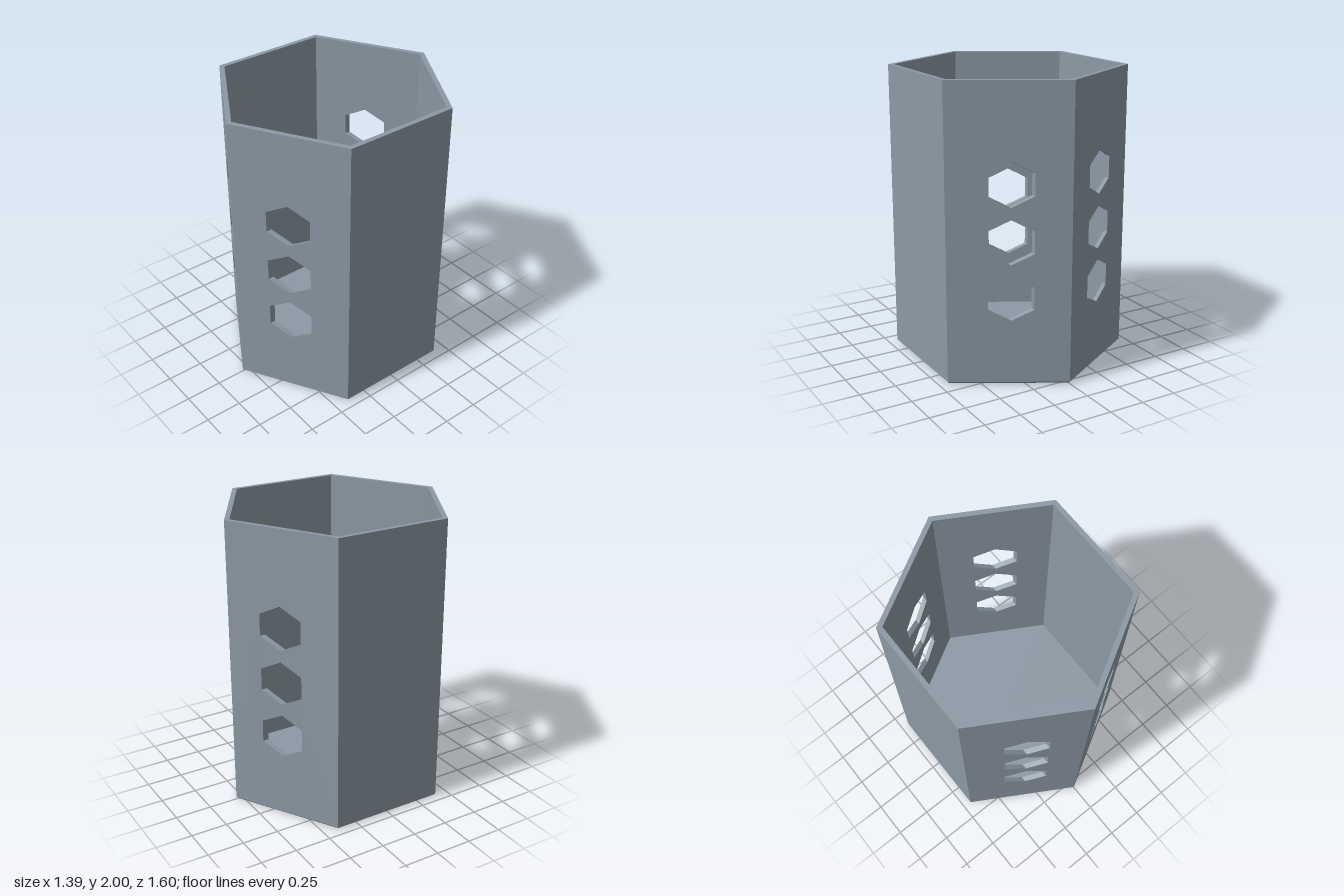
import * as THREE from 'three';

const R = 0.8, T = 0.038;              // outer corner radius, wall thickness measured at the corners
const C = Math.sqrt(3) / 2;            // corner radius to flat distance
const RIM = 2, CHAMFER = 0.015, FLOOR = 0.04;
const HOLE_R = 0.149, HOLE_X = 0.334, HOLE_Y = [0.595, 0.972, 1.35];

// Give every face its own flat normals
function faceted(geometry) {
  const g = geometry.index ? geometry.toNonIndexed() : geometry;
  g.computeVertexNormals();
  return g;
}

// Upright rectangle from x0 to x1
function wallShape(x0, x1) {
  return new THREE.Shape([
    new THREE.Vector2(x0, CHAMFER), new THREE.Vector2(x1, CHAMFER),
    new THREE.Vector2(x1, RIM), new THREE.Vector2(x0, RIM),
  ]);
}

// Move each vertex by a rule (x, z, isInner) => [x, z]
function reshape(geometry, depth, rule) {
  const p = geometry.attributes.position;
  for (let i = 0; i < p.count; i++) {
    const [x, z] = rule(p.getX(i), p.getZ(i), p.getZ(i) < depth / 2);
    p.setX(i, x);
    p.setZ(i, z);
  }
  return faceted(geometry);
}

// Slanted wall with three hexagonal holes cut straight along z
function piercedWall(side) {
  const shape = wallShape(0, side * R * C);
  for (const y of HOLE_Y) {
    const points = [];
    for (let i = 0; i < 6; i++) {
      const a = Math.PI / 6 + i * Math.PI / 3;
      points.push(new THREE.Vector2(side * HOLE_X + HOLE_R * Math.cos(a), y + HOLE_R * Math.sin(a)));
    }
    shape.holes.push(new THREE.Path(points));
  }
  const g = new THREE.ExtrudeGeometry(shape, { depth: T, bevelEnabled: false });
  return reshape(g, T, (x, z, inner) => {
    const limit = (inner ? R - T : R) * C;      // mitred outer end
    const nx = Math.sign(x) * Math.min(Math.abs(x), limit);
    return [nx, R - T + z - Math.abs(nx) / Math.sqrt(3)];
  });
}

// Plain side wall, mitred at both ends
function plainWall() {
  const depth = T * C;
  const g = new THREE.ExtrudeGeometry(wallShape(-R / 2, R / 2), { depth, bevelEnabled: false });
  return reshape(g, depth, (x, z, inner) => [
    inner ? Math.sign(x) * (R - T) / 2 : x, (R - T) * C + z,
  ]);
}

export function createModel() {
  const model = new THREE.Group();
  model.name = 'hexagonalHolder';
  const material = new THREE.MeshStandardMaterial({ color: 0x8c99a5 });
  material.name = 'slate grey';

  const add = (name, geometry, turn = 0) => {
    const mesh = new THREE.Mesh(geometry, material);
    mesh.name = name;
    mesh.rotation.y = turn;
    model.add(mesh);
  };

  // Four pierced walls: the front pair and the same pair turned to the back
  const leftWall = piercedWall(1), rightWall = piercedWall(-1);
  add('frontLeftWall', leftWall);
  add('frontRightWall', rightWall);
  add('backRightWall', leftWall, Math.PI);
  add('backLeftWall', rightWall, Math.PI);

  // Two plain side walls
  const sideWall = plainWall();
  add('leftWall', sideWall, Math.PI / 2);
  add('rightWall', sideWall, -Math.PI / 2);

  // Base with a chamfered foot and the inner floor
  const profile = [
    [0, 0], [R - 0.018, 0], [R, CHAMFER], [R - T, CHAMFER], [R - T, FLOOR], [0, FLOOR],
  ].map(([r, y]) => new THREE.Vector2(r, y));
  add('base', faceted(new THREE.LatheGeometry(profile, 6)));

  return model;
}
